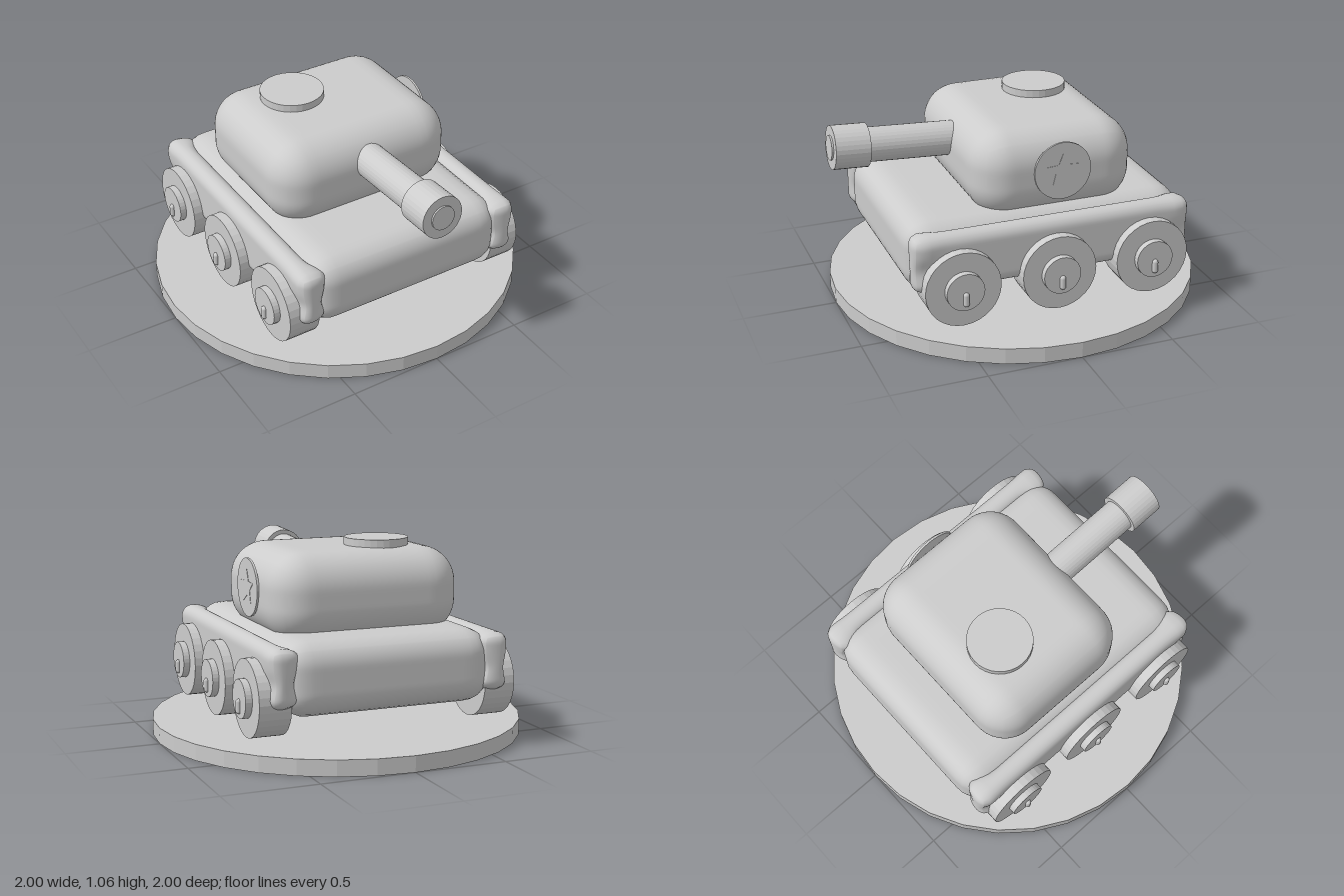
import * as THREE from 'three';
import { mergeVertices } from 'three/addons/utils/BufferGeometryUtils.js';

const grey = new THREE.MeshStandardMaterial({ color: 0xcccccc });
grey.name = 'plain grey';

function part(name, geometry, x = 0, y = 0, z = 0) {
  const mesh = new THREE.Mesh(geometry, grey);
  mesh.name = name;
  mesh.position.set(x, y, z);
  return mesh;
}

// Smooth block with rounded edges; an optional rule reshapes each point.
function softBlock(w, h, d, r, rule) {
  const geo = new THREE.BoxGeometry(w, h, d, 24, 24, 32);
  geo.deleteAttribute('uv');
  geo.deleteAttribute('normal');
  const pos = geo.attributes.position;
  const p = new THREE.Vector3(), core = new THREE.Vector3();
  const inner = new THREE.Vector3(w / 2 - r, h / 2 - r, d / 2 - r);
  const low = inner.clone().negate();
  for (let i = 0; i < pos.count; i++) {
    p.fromBufferAttribute(pos, i);
    core.copy(p).clamp(low, inner);
    p.sub(core).setLength(r).add(core);
    if (rule) rule(p);
    pos.setXYZ(i, p.x, p.y, p.z);
  }
  const merged = mergeVertices(geo, 1e-5);
  merged.computeVertexNormals();
  return merged;
}

// Faceted cylinder along y, x or z.
function disc(radius, length, axis = 'y', sides = 32) {
  const geo = new THREE.CylinderGeometry(radius, radius, length, sides).toNonIndexed();
  if (axis === 'x') geo.rotateZ(-Math.PI / 2);
  if (axis === 'z') geo.rotateX(Math.PI / 2);
  geo.computeVertexNormals();
  return geo;
}

// Fender: slim in the middle, swelling inwards at both ends.
function fenderGeometry(side) {
  return softBlock(0.12, 0.305, 1.51, 0.058, (p) => {
    const end = THREE.MathUtils.smoothstep(Math.abs(p.z), 0.58, 0.69);
    const waist = Math.exp(-Math.pow((p.y + 0.03) / 0.06, 2));
    const inward = p.x * side < 0;
    const grow = inward ? 0.04 - 0.025 * waist : 0.006 - 0.02 * waist;
    p.x *= 1 + end * grow / 0.06;
  });
}

function wheel(side, z) {
  const g = new THREE.Group();
  g.name = 'wheel';
  g.add(part('tyre', disc(0.2, 0.17, 'x'), side * 0.617));
  g.add(part('hub', disc(0.1, 0.05, 'x'), side * 0.712));
  g.add(part('hubPin', new THREE.CapsuleGeometry(0.016, 0.046, 6, 12), side * 0.739, -0.038));
  g.position.set(0, 0.33, z);
  return g;
}

function starGeometry(outer, inner, depth) {
  const points = [];
  for (let i = 0; i < 10; i++) {
    const a = Math.PI / 2 + i * Math.PI / 5, r = i % 2 ? inner : outer;
    points.push(new THREE.Vector2(Math.cos(a) * r, Math.sin(a) * r));
  }
  const geo = new THREE.ExtrudeGeometry(new THREE.Shape(points), { depth, bevelEnabled: false });
  return geo.rotateY(Math.PI / 2);
}

export function createModel() {
  const model = new THREE.Group();
  model.name = 'toyTank';

  model.add(part('base', disc(1, 0.085), 0, 0.0425));
  model.add(part('hull', softBlock(1.14, 0.385, 1.51, 0.13), 0, 0.4325));

  for (const side of [-1, 1]) {
    model.add(part(side > 0 ? 'leftFender' : 'rightFender', fenderGeometry(side), side * 0.59, 0.4525));
    for (const z of [-0.517, 0, 0.517]) model.add(wheel(side, z));
  }

  // Turret with hatch and side emblem
  model.add(part('turret', softBlock(1.05, 0.47, 0.88, 0.19), 0, 0.785, -0.072));
  model.add(part('hatch', disc(0.17, 0.06), -0.15, 1.03, -0.188));
  model.add(part('emblemDisc', disc(0.154, 0.012, 'x'), 0.529, 0.813, -0.079));
  model.add(part('emblemStar', starGeometry(0.095, 0.042, 0.003), 0.534, 0.813, -0.079));

  // Gun, raised slightly towards the muzzle
  const gun = new THREE.Group();
  gun.name = 'gun';
  gun.add(part('barrel', disc(0.091, 0.6, 'z'), 0, 0, 0.25));
  gun.add(part('muzzle', disc(0.115, 0.185, 'z'), 0, 0, 0.623));
  gun.add(part('muzzlePlug', disc(0.065, 0.05, 'z'), 0, 0, 0.7));
  gun.position.set(0, 0.854, 0.27);
  gun.rotation.x = -0.053;
  model.add(gun);

  return model;
}
